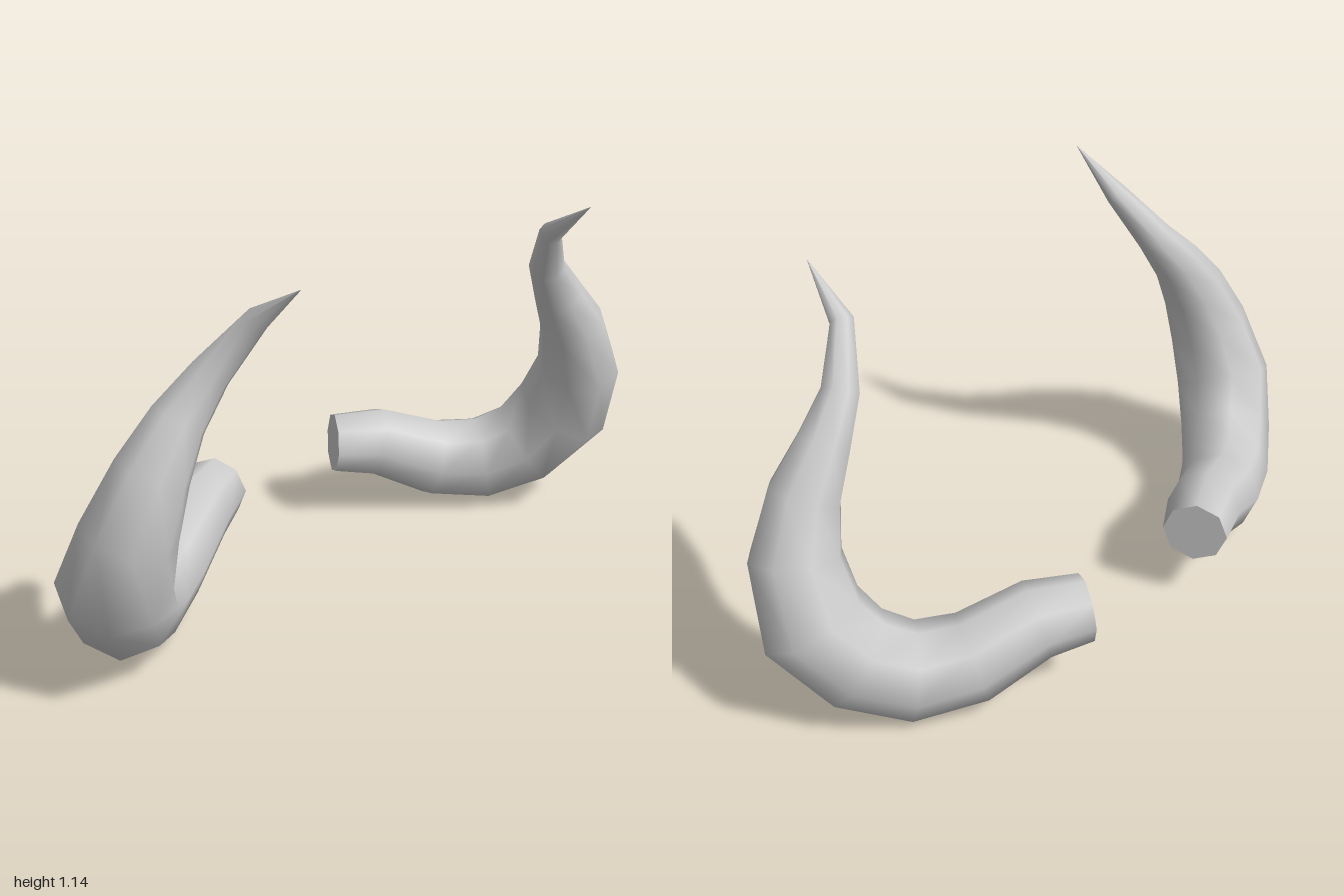
import * as THREE from 'three';

const SIDES = 8;
// Horn cross-sections from base to tip: centre x, y, z and radius
const RINGS = [
  [0.23, 0.243, -0.34, 0.096],
  [0.355, 0.235, -0.27, 0.112],
  [0.525, 0.155, -0.19, 0.128],
  [0.665, 0.14, -0.105, 0.138],
  [0.775, 0.2, -0.01, 0.145],
  [0.85, 0.33, 0.075, 0.152],
  [0.835, 0.505, 0.14, 0.129],
  [0.77, 0.66, 0.16, 0.102],
  [0.69, 0.78, 0.165, 0.076],
  [0.605, 0.89, 0.19, 0.054],
  [0.522, 1.03, 0.27, 0.034],
  [0.505, 1.143, 0.42, 0.001],
];

// Rings of points perpendicular to the curve, with the frame carried along it
function hornRings(side) {
  const centres = RINGS.map(([x, y, z]) => new THREE.Vector3(x * side, y, z));
  const dirs = centres.slice(1).map((c, i) => c.clone().sub(centres[i]).normalize());
  const up = new THREE.Vector3(0, 1, 0);
  return centres.map((c, i) => {
    const before = dirs[Math.max(i - 1, 0)];
    const after = dirs[Math.min(i, dirs.length - 1)];
    const tangent = before.clone().add(after).normalize();
    up.addScaledVector(tangent, -up.dot(tangent)).normalize();
    const across = new THREE.Vector3().crossVectors(tangent, up);
    return Array.from({ length: SIDES }, (_, k) => {
      const a = (k / SIDES) * Math.PI * 2;
      return c.clone()
        .addScaledVector(up, Math.cos(a) * RINGS[i][3])
        .addScaledVector(across, Math.sin(a) * RINGS[i][3]);
    });
  });
}

function geometryFrom(points, index) {
  const geometry = new THREE.BufferGeometry().setFromPoints(points);
  geometry.setIndex(index);
  geometry.computeVertexNormals();
  return geometry;
}

function createHorn(side, material) {
  const rings = hornRings(side);
  const index = [];
  for (let i = 0; i < rings.length - 1; i++) {
    for (let k = 0; k < SIDES; k++) {
      const next = (k + 1) % SIDES;
      const a = i * SIDES + k, b = i * SIDES + next;
      index.push(a, b, a + SIDES, b, b + SIDES, a + SIDES);
    }
  }
  const body = new THREE.Mesh(geometryFrom(rings.flat(), index), material);
  body.name = 'hornBody';

  // Flat disc closing the base
  const capIndex = [];
  for (let k = 1; k < SIDES - 1; k++) capIndex.push(0, k + 1, k);
  const cap = new THREE.Mesh(geometryFrom(rings[0], capIndex), material);
  cap.name = 'hornBase';

  const horn = new THREE.Group();
  horn.name = side > 0 ? 'leftHorn' : 'rightHorn';
  horn.add(body, cap);
  return horn;
}

export function createModel() {
  const material = new THREE.MeshStandardMaterial({ color: 0xcccccc, side: THREE.DoubleSide });
  const model = new THREE.Group();
  model.name = 'horns';
  for (const side of [1, -1]) model.add(createHorn(side, material));
  return model;
}
